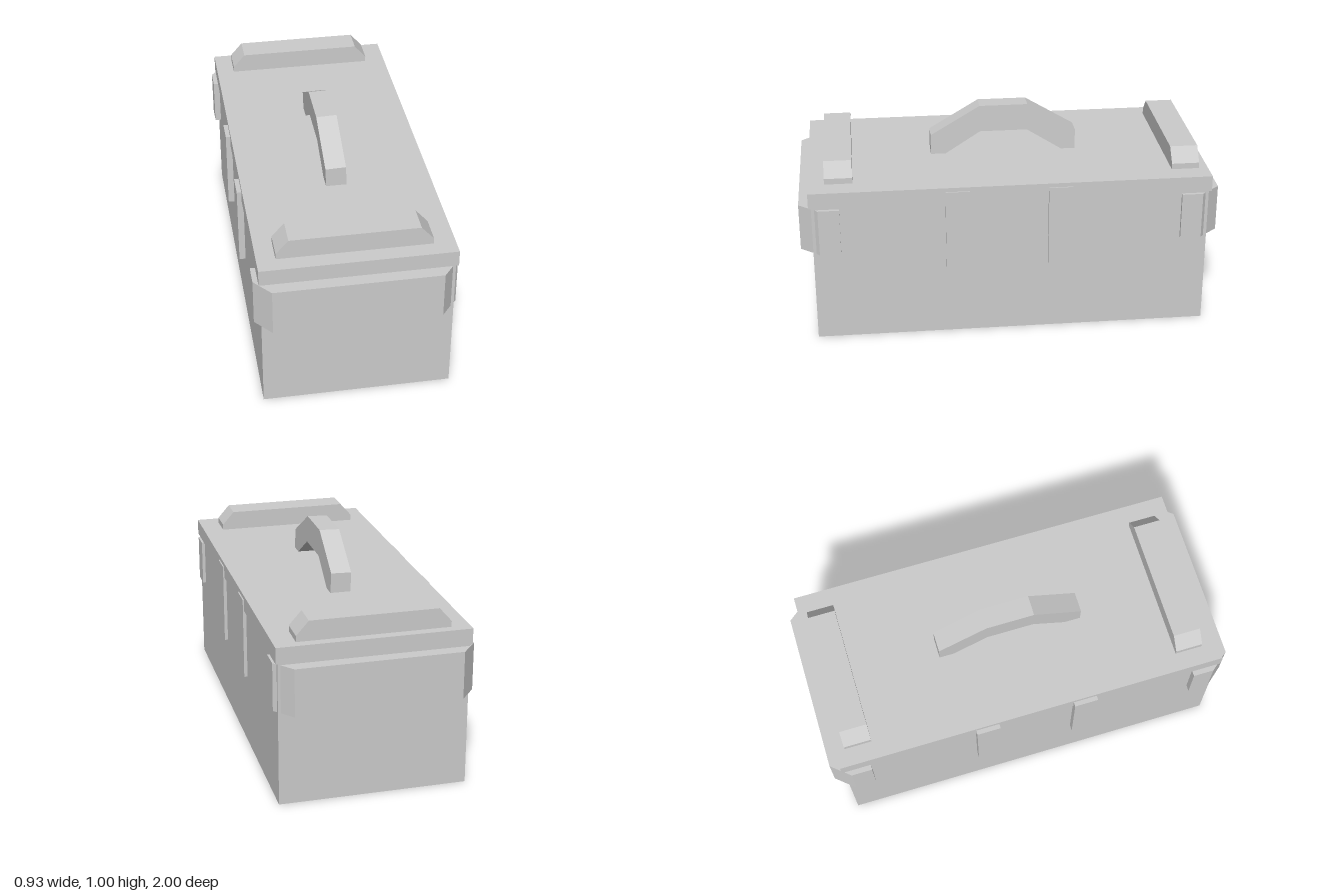
import * as THREE from 'three';

const material = new THREE.MeshStandardMaterial({ color: 0xcccccc, flatShading: true });

// Prism from an outline, depth running from z = 0
function prism(points, depth) {
  const shape = new THREE.Shape(points.map(([x, y]) => new THREE.Vector2(x, y)));
  return new THREE.ExtrudeGeometry(shape, { depth, bevelEnabled: false });
}

export function createModel() {
  const model = new THREE.Group();
  model.name = 'toolChest';

  const add = (name, geometry) => {
    const mesh = new THREE.Mesh(geometry, material);
    mesh.name = name;
    model.add(mesh);
    return mesh;
  };
  // Box given by its limits on each axis
  const addBox = (name, x0, x1, y0, y1, z0, z1) =>
    add(name, new THREE.BoxGeometry(x1 - x0, y1 - y0, z1 - z0))
      .position.set((x0 + x1) / 2, (y0 + y1) / 2, (z0 + z1) / 2);
  // Upright prism from an outline of [x, z] points
  const addUpright = (name, outline, y0, y1) => {
    const geometry = prism(outline.map(([x, z]) => [x, -z]), y1 - y0);
    geometry.rotateX(-Math.PI / 2);
    add(name, geometry).position.y = y0;
  };

  // Chest and lid
  addBox('chestBody', -0.435, 0.447, 0, 0.688, -0.94, 0.94);
  addBox('lid', -0.443, 0.457, 0.688, 0.765, -0.952, 0.952);

  // Bands round both ends, with a slit at the left corners
  for (const [end, s] of [['front', 1], ['back', -1]]) {
    addUpright(end + 'Band', [
      [-0.465, 0.81 * s], [-0.465, 0.91 * s], [-0.39, s], [0.385, s],
      [0.44, 0.932 * s], [0.43, 0.92 * s], [-0.43, 0.92 * s], [-0.43, 0.81 * s],
    ], 0.45, 0.678);
    addUpright(end + 'BandTab', [
      [0.44, 0.81 * s], [0.463, 0.81 * s], [0.463, 0.91 * s], [0.447, 0.925 * s], [0.44, 0.925 * s],
    ], 0.45, 0.678);
  }

  // Latch straps down both long sides
  for (const [z0, z1] of [[0.2, 0.315], [-0.287, -0.172]]) {
    addBox('leftStrap', 0.44, 0.463, 0.35, 0.745, z0, z1);
    addBox('rightStrap', -0.465, -0.43, 0.35, 0.745, z0, z1);
  }

  // Ribs with sloped ends on the lid
  for (const [name, z] of [['frontRib', 0.743], ['backRib', -0.908]]) {
    const rib = prism([
      [-0.356, 0.76], [0.356, 0.76], [0.356, 0.793],
      [0.298, 0.859], [-0.298, 0.859], [-0.356, 0.793],
    ], 0.132);
    add(name, rib).position.z = z;
  }

  // Arched carrying handle, leaning slightly to one side
  const arch = prism([
    [-0.357, -0.11], [-0.357, -0.01], [-0.117, 0.131], [0.117, 0.131], [0.353, -0.01],
    [0.353, -0.11], [0.288, -0.11], [0.115, 0], [-0.115, 0], [-0.288, -0.11],
  ], 0.098);
  arch.translate(0, 0, -0.049).rotateY(Math.PI / 2);
  const handle = add('handle', arch);
  handle.position.y = 0.871;
  handle.rotation.z = 0.035;

  return model;
}
